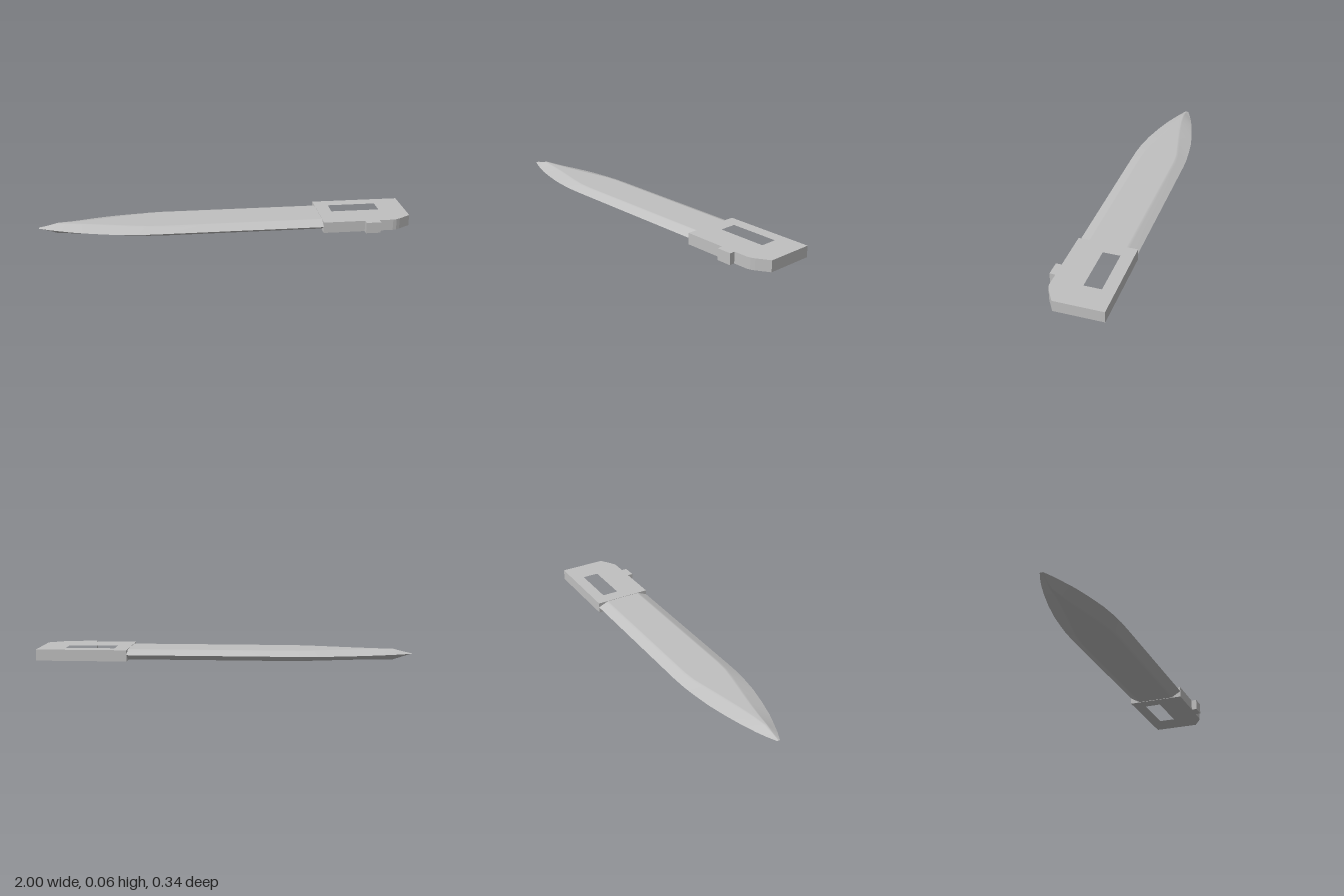
import * as THREE from 'three';

const steel = new THREE.MeshStandardMaterial({ color: 0xc0c0c0 });
steel.name = 'steel grey';

// Blade stations: x, back edge z, front edge z, half thickness, flat share of the width
const stations = [
  [-1, -0.025, -0.008, 0, 0.05],
  [-0.95, -0.048, 0.016, 0.5, 0.06],
  [-0.9, -0.068, 0.036, 1, 0.1],
  [-0.82, -0.094, 0.066, 1, 0.18],
  [-0.72, -0.121, 0.094, 1, 0.3],
  [-0.61, -0.145, 0.119, 1, 0.42],
  [-0.5, -0.16, 0.134, 1, 0.54],
  [-0.42, -0.168, 0.139, 1, 0.62],
  [-0.34, -0.171, 0.14, 1, 0.65],
  [-0.1, -0.171, 0.14, 1, 0.65],
  [0.2, -0.171, 0.14, 1, 0.65],
  [0.53, -0.171, 0.14, 1, 0.65],
];
const EDGE_Y = 0.034;

// One face of the blade: flat middle with bevels down to the cutting edges
function bladeFace(faceY, up) {
  const pos = [], index = [], n = 8;
  for (const [x, z0, z1, thick, flat] of stations) {
    const mid = (z0 + z1) / 2, half = (z1 - z0) / 2;
    const outer = flat + 0.06, inner = flat - 0.04;
    const drop = 0.06 / (1 - flat);
    const side = [[1, 1], [outer, drop], [flat, 0.03], [inner, 0]];
    const section = [...side.map(([t, d]) => [-t, d]), ...side.reverse()];
    for (const [t, d] of section) {
      const y = EDGE_Y + (faceY - EDGE_Y) * thick * (1 - d);
      pos.push(x, y, mid + t * half);
    }
  }
  for (let i = 0; i < stations.length - 1; i++) {
    for (let j = 0; j < n - 1; j++) {
      const a = i * n + j, b = a + 1, c = a + n, d = c + 1;
      if (up) index.push(a, b, c, b, d, c);
      else index.push(a, c, b, b, c, d);
    }
  }
  const g = new THREE.BufferGeometry();
  g.setAttribute('position', new THREE.Float32BufferAttribute(pos, 3));
  g.setIndex(index);
  g.computeVertexNormals();
  return g;
}

function addMesh(parent, geometry, name) {
  const mesh = new THREE.Mesh(geometry, steel);
  mesh.name = name;
  parent.add(mesh);
}

export function createModel() {
  const model = new THREE.Group();
  model.name = 'knife';

  // Blade
  const blade = new THREE.Group();
  blade.name = 'blade';
  addMesh(blade, bladeFace(0.0585, true), 'bladeTop');
  addMesh(blade, bladeFace(0.002, false), 'bladeUnderside');
  model.add(blade);

  // Handle plate with clipped corner, side tab and slot (outline as x, z)
  const toShape = ([x, z]) => new THREE.Vector2(x, -z);
  const shape = new THREE.Shape([
    [0.515, -0.171], [1, -0.171], [1, 0.085], [0.935, 0.126], [0.915, 0.136],
    [0.895, 0.14], [0.82, 0.14], [0.82, 0.17], [0.74, 0.17], [0.74, 0.14], [0.515, 0.14],
  ].map(toShape));
  shape.holes.push(new THREE.Path(
    [[0.59, -0.105], [0.855, -0.105], [0.855, -0.014], [0.59, -0.014]].map(toShape)));
  const handle = new THREE.ExtrudeGeometry(shape, { depth: 0.06, bevelEnabled: false });
  handle.rotateX(-Math.PI / 2);
  addMesh(model, handle, 'handle');

  return model;
}
